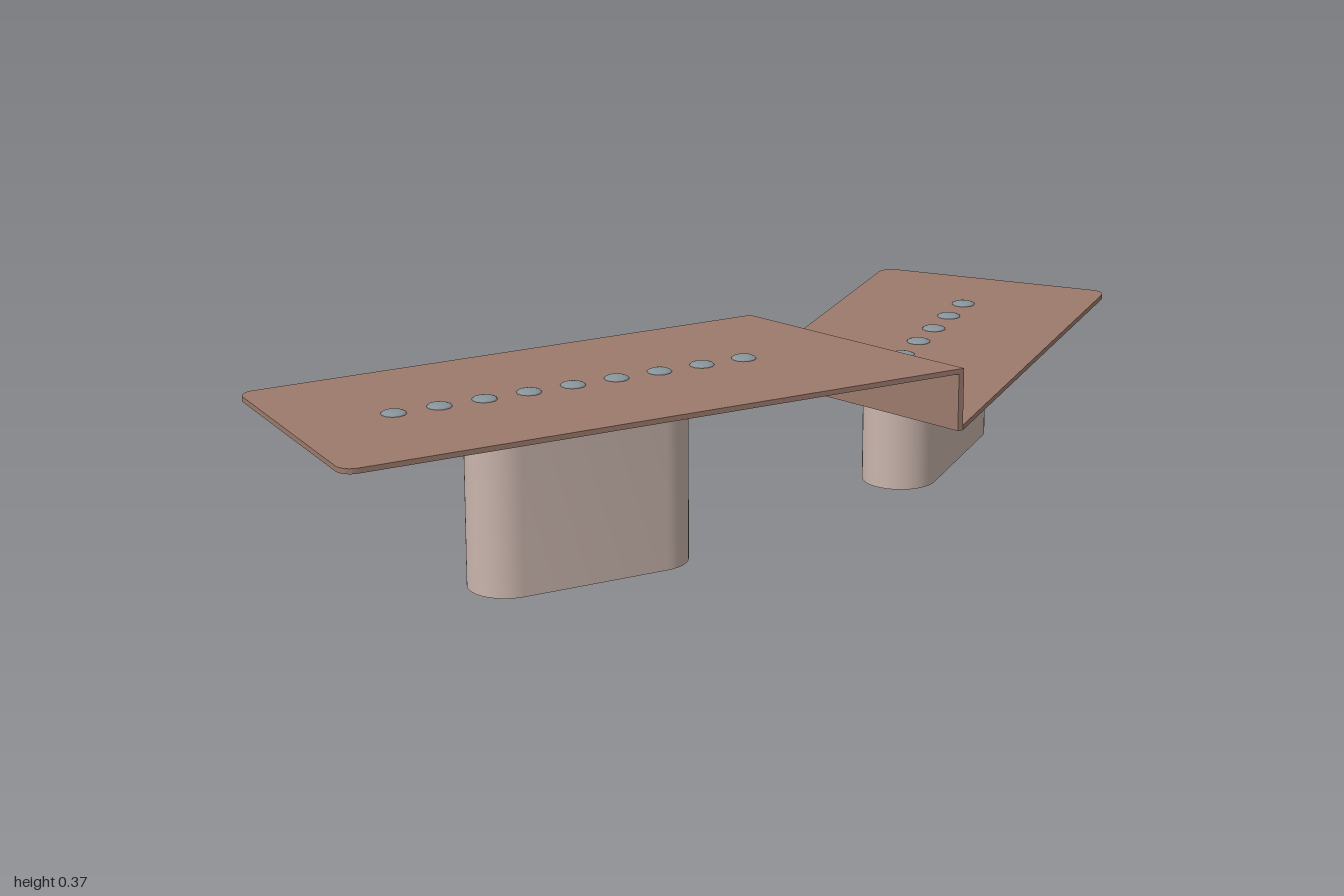
import * as THREE from 'three';
import { toCreasedNormals } from 'three/addons/utils/BufferGeometryUtils.js';

const mat = (name, color) => {
  const m = new THREE.MeshStandardMaterial({ color });
  m.name = name;
  return m;
};

export function createModel() {
  const wood = mat('brown wood', 0x9c7a6c);
  const stone = mat('pale pink grey', 0xc9b4ac);
  const metal = mat('steel grey', 0x88949b);

  const add = (parent, name, geometry, material) => {
    const mesh = new THREE.Mesh(geometry, material);
    mesh.name = name;
    parent.add(mesh);
    return mesh;
  };

  // Horizontal slab: shape y becomes z, thickness goes down from topY
  const slab = (shape, topY, depth) => {
    const g = new THREE.ExtrudeGeometry(shape, { depth, bevelEnabled: false, curveSegments: 10 });
    g.rotateX(Math.PI / 2).translate(0, topY, 0);
    return toCreasedNormals(g, 0.6);
  };

  // Closed polygon from x, z corners
  const polygon = (pts) => new THREE.Shape(pts.map(([x, y]) => new THREE.Vector2(x, y)));

  // Rectangle loops joined from top to bottom and back up inside
  const loft = (rings) => {
    const pos = [];
    const corner = ([a, b, y], j) => [[-a, y, -b], [a, y, -b], [a, y, b], [-a, y, b]][j % 4];
    for (let i = 0; i < rings.length - 1; i++) {
      for (let j = 0; j < 4; j++) {
        const A = corner(rings[i], j), B = corner(rings[i], j + 1);
        const C = corner(rings[i + 1], j + 1), D = corner(rings[i + 1], j);
        pos.push(...A, ...B, ...C, ...A, ...C, ...D);
      }
    }
    const g = new THREE.BufferGeometry();
    g.setAttribute('position', new THREE.Float32BufferAttribute(pos, 3));
    g.computeVertexNormals();
    return g;
  };

  // Everything under and on one tabletop, centred on its pedestal
  const fittings = (parent, { cx, top, half, legHalf, dots, dotStep, dotX }) => {
    const g = new THREE.Group();
    g.name = 'supportAssembly';
    g.position.set(cx, top, 0.252);
    parent.add(g);

    // Sloped hollow frame
    add(g, 'underFrame', loft([
      [half, 0.155, -0.01], [half - 0.05, 0.115, -0.033],
      [half - 0.065, 0.1, -0.033], [half - 0.075, 0.09, -0.015], [0, 0, -0.015],
    ]), stone);

    // Beam with a deep bracket on each side of the pedestal
    const e = half - 0.085, i = e - 0.09;
    const profile = polygon([
      [-e - 0.06, -0.012], [-e, -0.062], [-i, -0.062], [-i, -0.045],
      [i, -0.045], [i, -0.062], [e, -0.062], [e + 0.06, -0.012],
    ]);
    const beam = new THREE.ExtrudeGeometry(profile, { depth: 0.11, bevelEnabled: false });
    add(g, 'supportBeam', beam.translate(0, 0, -0.055), stone);

    // Pedestal with half-round ends
    const r = 0.075, s = new THREE.Shape();
    s.moveTo(-legHalf, -r);
    s.lineTo(legHalf, -r);
    s.absarc(legHalf, 0, r, -Math.PI / 2, Math.PI / 2, false);
    s.lineTo(-legHalf, r);
    s.absarc(-legHalf, 0, r, Math.PI / 2, Math.PI * 1.5, false);
    add(g, 'pedestal', slab(s, -0.035, top - 0.035), stone);

    // Row of low metal studs along the top
    const dome = new THREE.SphereGeometry(0.024, 12, 4, 0, Math.PI * 2, 0, Math.PI / 2);
    dome.scale(1, 0.25, 1);
    for (let k = 0; k < dots; k++) {
      add(g, 'stud', dome, metal).position.set(dotX + (k - (dots - 1) / 2) * dotStep, 0, -0.004);
    }
  };

  const model = new THREE.Group();
  model.name = 'twoLevelTable';
  const R = 0.03, HI = 0.365, LO = 0.253, T = 0.01;

  // Upper table
  const high = new THREE.Group();
  high.name = 'upperTable';
  model.add(high);
  const hs = new THREE.Shape();
  hs.moveTo(0.07, 0);
  hs.lineTo(0.252, 0.5);
  hs.lineTo(-1 + R, 0.5);
  hs.absarc(-1 + R, 0.5 - R, R, Math.PI / 2, Math.PI, false);
  hs.lineTo(-1, R);
  hs.absarc(-1 + R, R, R, Math.PI, Math.PI * 1.5, false);
  add(high, 'upperTop', slab(hs, HI, T), wood);
  fittings(high, { cx: -0.433, top: HI, half: 0.435, legHalf: 0.148, dots: 9, dotStep: 0.0895, dotX: -0.005 });

  // Upright panel closing the step between the two levels
  const panel = polygon([[0.059, 0], [0.07, 0], [0.252, 0.5], [0.241, 0.5]]);
  add(model, 'stepPanel', slab(panel, HI - T, HI - LO), wood);

  // Lower table, turned 40 degrees about the inner corner
  const low = new THREE.Group();
  low.name = 'lowerTable';
  low.position.set(0.07, 0, 0);
  low.rotation.y = THREE.MathUtils.degToRad(40);
  model.add(low);
  const L = 0.805, ls = new THREE.Shape();
  ls.moveTo(0, 0);
  ls.lineTo(L - R, 0);
  ls.absarc(L - R, R, R, -Math.PI / 2, 0, false);
  ls.lineTo(L, 0.5 - R);
  ls.absarc(L - R, 0.5 - R, R, 0, Math.PI / 2, false);
  ls.lineTo(-0.182, 0.5);
  add(low, 'lowerTop', slab(ls, LO, T), wood);
  fittings(low, { cx: 0.345, top: LO, half: 0.38, legHalf: 0.16, dots: 6, dotStep: 0.0985, dotX: 0.01 });

  return model;
}
